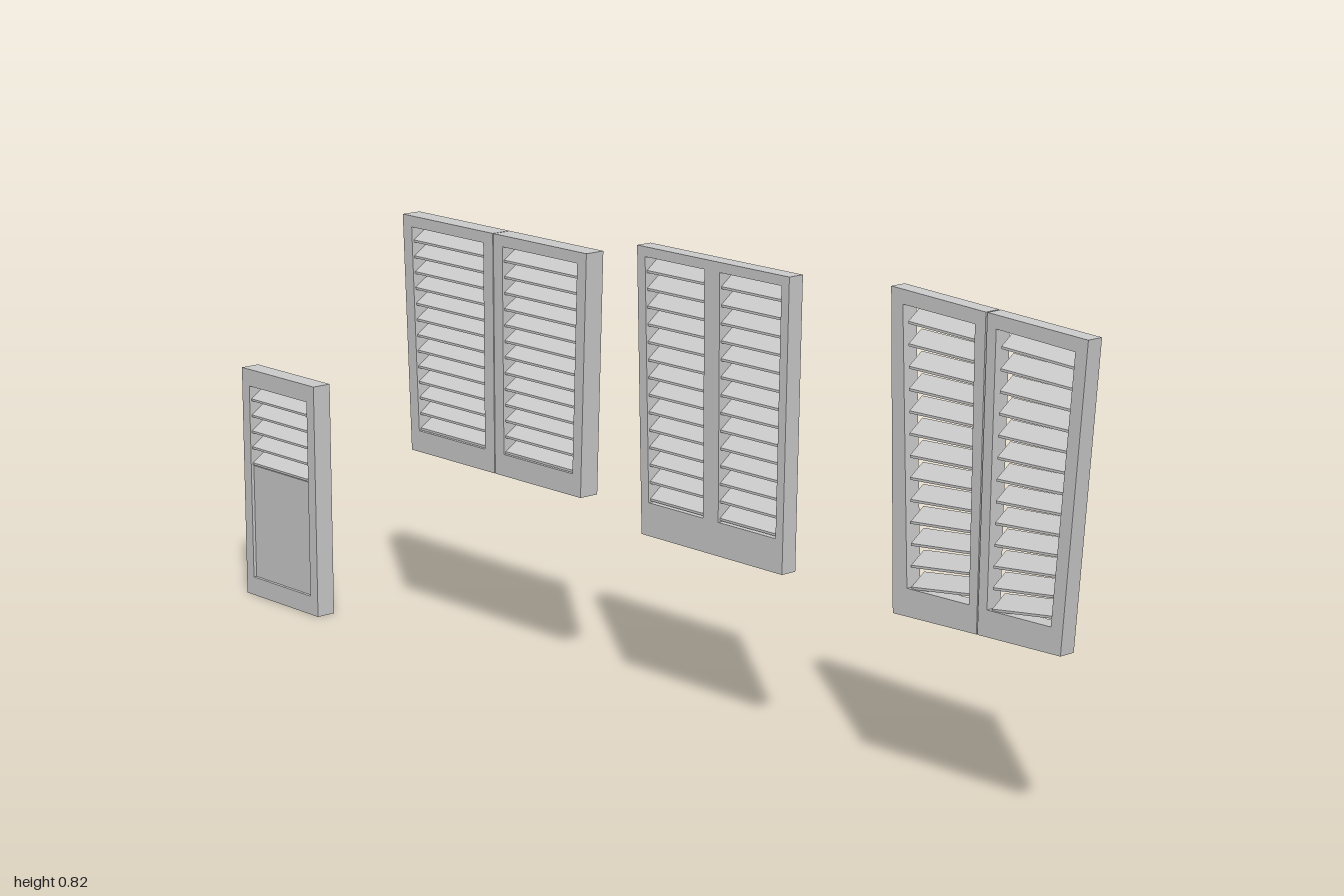
import * as THREE from 'three';

const grey = new THREE.MeshStandardMaterial({ color: 0xcccccc, flatShading: true });
const mix = THREE.MathUtils.lerp;

// Quads are [bottomLeft, bottomRight, topRight, topLeft], each corner [x, y].
const quadPoints = q => q.map(([x, y]) => new THREE.Vector2(x, y));
const inQuad = ([a, b, c, d], u, v) =>
  [0, 1].map(i => mix(mix(a[i], b[i], u), mix(d[i], c[i], u), v));

function add(group, name, geometry) {
  const mesh = new THREE.Mesh(geometry, grey);
  mesh.name = name;
  group.add(mesh);
}

// Frame board with one opening
function frame(outer, hole, z0, z1) {
  const shape = new THREE.Shape(quadPoints(outer));
  shape.holes.push(new THREE.Path(quadPoints(hole)));
  const g = new THREE.ExtrudeGeometry(shape, { depth: z1 - z0, bevelEnabled: false });
  return g.translate(0, 0, z0);
}

// Slat spanning the opening at height v, high at the back and low at the front
function slat(hole, v, z0, z1, { rise, thick = 0.004, tilt = 0, inset = 0 }) {
  const g = new THREE.BoxGeometry(1, 1, 1);
  const p = g.attributes.position;
  for (let i = 0; i < p.count; i++) {
    const u = mix(inset, 1, p.getX(i) + 0.5), w = p.getZ(i) + 0.5;
    const [x, y] = inQuad(hole, u, v);
    const skew = tilt * (u - 0.5) * (1 - v);
    p.setXYZ(i, x, y + skew + p.getY(i) * thick - (w - 0.5) * rise, mix(z0, z1, w));
  }
  g.computeVertexNormals();
  return g;
}

function leaf(name, { outer, hole, louvre = hole, z0, z1, count, slats }) {
  const group = new THREE.Group();
  group.name = name;
  add(group, 'frame', frame(outer, hole, z0, z1));
  for (let i = 0; i < count; i++)
    add(group, 'slat', slat(louvre, (i + 0.5) / count, z0 - 0.002, z1 - 0.004, slats));
  return group;
}

function pair(name, z0, z1, count, slats, leaves) {
  const group = new THREE.Group();
  group.name = name;
  leaves.forEach(([outer, hole], i) =>
    group.add(leaf(i ? 'leftLeaf' : 'rightLeaf', { outer, hole, z0, z1, count, slats })));
  return group;
}

export function createModel() {
  const model = new THREE.Group();
  model.name = 'shutters';

  // Small shutter: louvres above a recessed panel
  const small = leaf('smallShutter', {
    outer: [[-1, 0], [-0.78, 0], [-0.78, 0.435], [-1, 0.435]],
    hole: [[-0.978, 0.035], [-0.802, 0.035], [-0.802, 0.403], [-0.978, 0.403]],
    louvre: [[-0.978, 0.25], [-0.802, 0.25], [-0.802, 0.403], [-0.978, 0.403]],
    z0: 0.028, z1: 0.065, count: 5, slats: { rise: 0.023 },
  });
  add(small, 'panel', new THREE.BoxGeometry(0.176, 0.215, 0.025).translate(-0.89, 0.1425, 0.0465));
  model.add(small);

  // Wide tapered pair
  model.add(pair('wideShutters', -0.061, -0.023, 13, { rise: 0.023 }, [
    [[[-0.605, 0.336], [-0.371, 0.336], [-0.371, 0.765], [-0.622, 0.765]],
      [[-0.583, 0.375], [-0.397, 0.375], [-0.397, 0.745], [-0.597, 0.745]]],
    [[[-0.369, 0.336], [-0.14, 0.336], [-0.123, 0.765], [-0.369, 0.765]],
      [[-0.345, 0.375], [-0.161, 0.375], [-0.147, 0.745], [-0.345, 0.745]]],
  ]));

  // Narrow pair with a deep bottom rail
  model.add(pair('narrowShutters', -0.058, -0.028, 14, { rise: 0.021 }, [
    [[[0.012, 0.302], [0.183, 0.302], [0.183, 0.797], [0, 0.797]],
      [[0.03, 0.36], [0.165, 0.36], [0.165, 0.78], [0.02, 0.78]]],
    [[[0.183, 0.302], [0.355, 0.302], [0.365, 0.797], [0.183, 0.797]],
      [[0.202, 0.36], [0.339, 0.36], [0.347, 0.78], [0.202, 0.78]]],
  ]));

  // Crooked pair with uneven corners and skewed slats
  model.add(pair('crookedShutters', -0.058, -0.028, 13, { rise: 0.02, tilt: 0.016, inset: 0.05 }, [
    [[[0.608, 0.293], [0.789, 0.298], [0.793, 0.807], [0.592, 0.817]],
      [[0.638, 0.34], [0.772, 0.342], [0.771, 0.785], [0.618, 0.792]]],
    [[[0.791, 0.298], [0.963, 0.302], [1, 0.797], [0.796, 0.807]],
      [[0.81, 0.342], [0.942, 0.344], [0.975, 0.775], [0.815, 0.784]]],
  ]));

  return model;
}
